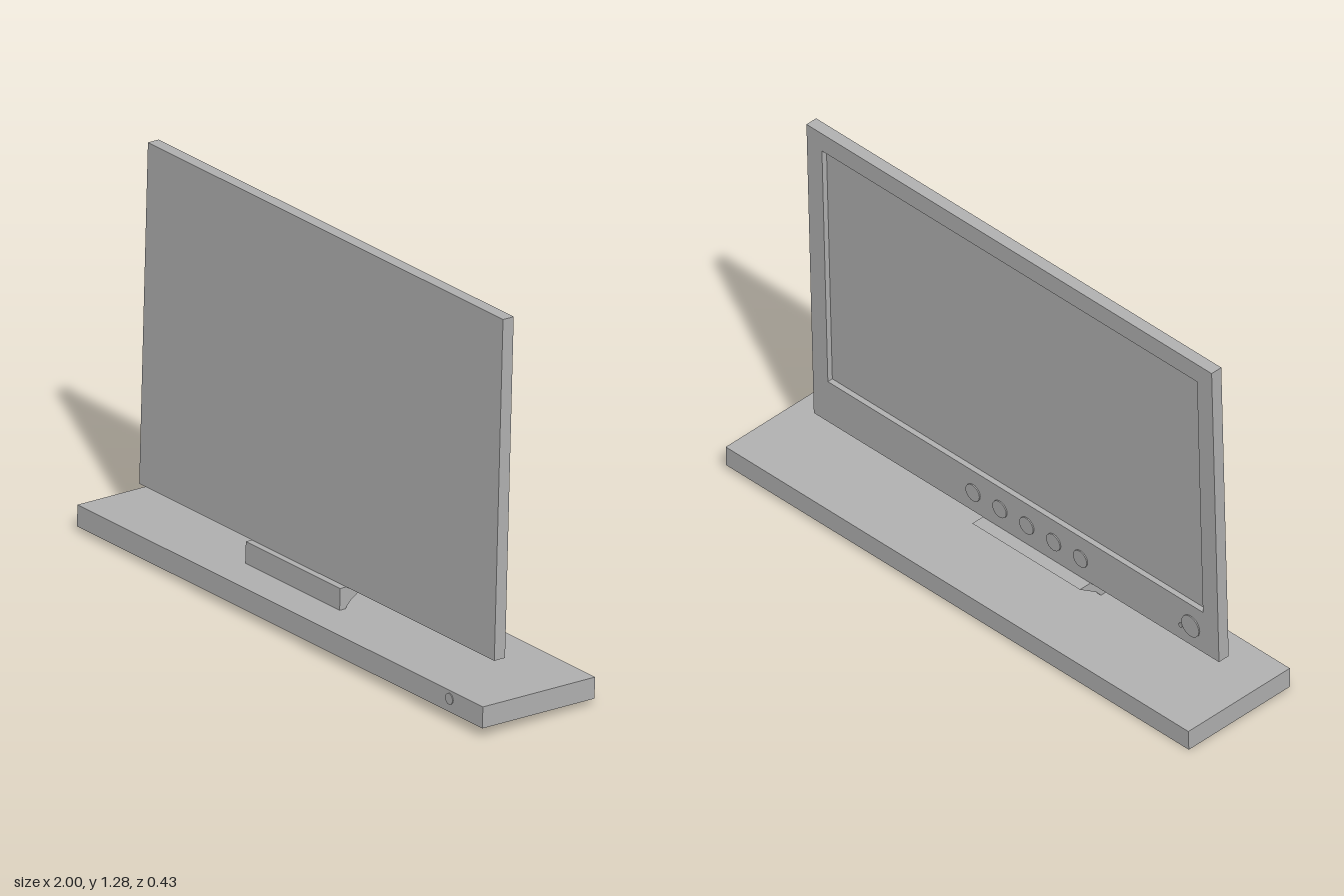
import * as THREE from 'three';

export function createModel() {
  const grey = new THREE.MeshStandardMaterial({ color: 0xb2b2b2 });
  grey.name = 'plain grey';

  const model = new THREE.Group();
  model.name = 'monitor';
  const body = new THREE.Group();
  body.name = 'tiltedBody';
  model.add(body);

  const add = (name, geometry, x = 0, y = 0, z = 0) => {
    const mesh = new THREE.Mesh(geometry, grey);
    mesh.name = name;
    mesh.position.set(x, y, z);
    body.add(mesh);
    return mesh;
  };
  const rect = (Type, x0, y0, x1, y1) => new Type([
    new THREE.Vector2(x0, y0), new THREE.Vector2(x1, y0),
    new THREE.Vector2(x1, y1), new THREE.Vector2(x0, y1),
  ]);
  const disc = (name, r, depth, x, y, z) => {
    add(name, new THREE.CylinderGeometry(r, r, depth, 24).rotateX(Math.PI / 2), x, y, z);
  };

  // Base slab with a small knob on its front edge
  add('base', new THREE.BoxGeometry(1.998, 0.07, 0.43), 0, 0.035, 0);
  disc('frontKnob', 0.018, 0.006, 0.836, 0.043, 0.215);

  // Wedge bracket joining base and panel
  const wedge = new THREE.Shape([
    [0.089, 0.069], [0.089, 0.141], [-0.02, 0.141], [0.048, 0.093], [0.068, 0.069],
  ].map(([z, y]) => new THREE.Vector2(z, y)));
  const bracket = new THREE.ExtrudeGeometry(wedge, { depth: 0.465, bevelEnabled: false });
  add('bracket', bracket.rotateY(-Math.PI / 2), 0.131, 0, 0);

  // Panel: flat slab facing forward, raised frame round the screen on the back
  const L = -0.889, R = 0.861, B = 0.141, T = 1.253;
  const backZ = 0.025, screenZ = 0.044, frontZ = 0.066;
  add('panel', new THREE.BoxGeometry(R - L, T - B, frontZ - screenZ),
    (L + R) / 2, (B + T) / 2, (screenZ + frontZ) / 2);
  const frame = rect(THREE.Shape, L, B, R, T);
  frame.holes.push(rect(THREE.Path, L + 0.065, B + 0.156, R - 0.065, T - 0.067));
  add('screenFrame', new THREE.ExtrudeGeometry(frame,
    { depth: screenZ - backZ, bevelEnabled: false }), 0, 0, backZ);

  // Buttons below the screen
  for (let i = 0; i < 5; i++) disc('menuButton', 0.03, 0.008, 0.17 - i * 0.116, B + 0.073, backZ);
  disc('powerButton', 0.038, 0.008, -0.77, B + 0.075, backZ);
  disc('indicatorLight', 0.008, 0.008, -0.727, B + 0.055, backZ);

  // Whole object leans slightly back and to one side
  body.rotation.set(-0.037, 0, 0.009);
  body.position.y = 0.017;
  return model;
}
